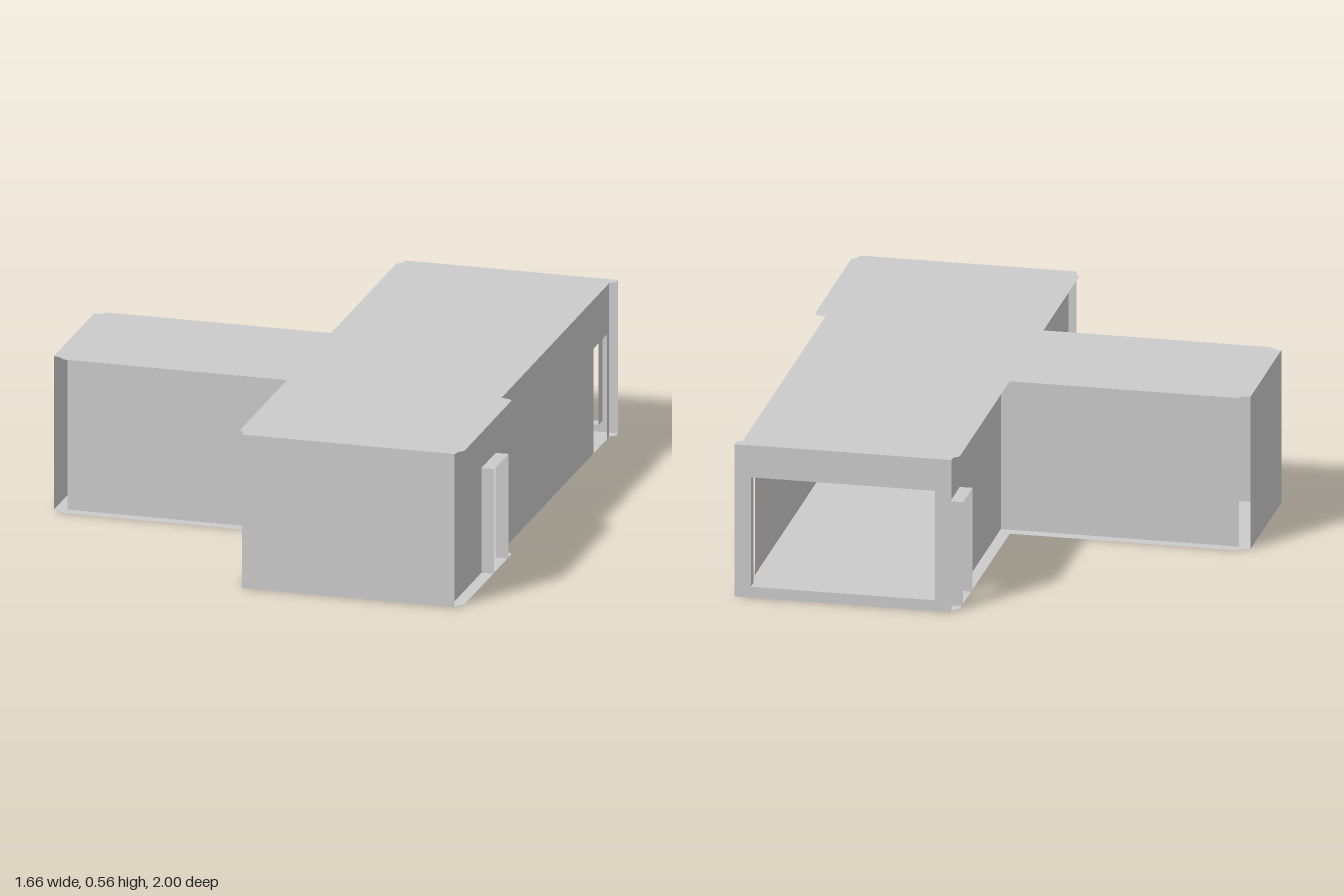
import * as THREE from 'three';

const H = 0.557; // wall height
const DOOR = 0.38; // door height
const mat = new THREE.MeshStandardMaterial({ color: 0xcccccc, flatShading: true, side: THREE.DoubleSide });

function add(parent, name, geometry) {
  const mesh = new THREE.Mesh(geometry, mat);
  mesh.name = name;
  parent.add(mesh);
  return mesh;
}

const toShape = (pts) => new THREE.Shape(pts.map(([x, y]) => new THREE.Vector2(x, y)));

// Wall sheet from a to b along one axis; doors are [from, to] cut up from the floor
function wallShape(a, b, doors = []) {
  const pts = [[a, 0]];
  for (const [p, q] of doors) pts.push([p, 0], [p, DOOR], [q, DOOR], [q, 0]);
  pts.push([b, 0], [b, H], [a, H]);
  return toShape(pts);
}

// Wall running along x at depth z
function wallAlongX(parent, name, z, shape) {
  add(parent, name, new THREE.ShapeGeometry(shape)).position.z = z;
}

// Wall running along z at position x
function wallAlongZ(parent, name, x, shape) {
  const wall = add(parent, name, new THREE.ShapeGeometry(shape).rotateY(-Math.PI / 2));
  wall.position.x = x;
}

// Open lining of a doorway: two jambs and a lintel between x0 and x1
function doorLining(parent, name, x0, x1, [z0, z1]) {
  const group = new THREE.Group();
  group.name = name;
  const depth = Math.abs(x1 - x0), cx = (x0 + x1) / 2;
  for (const z of [z0, z1]) {
    add(group, 'doorJamb', new THREE.PlaneGeometry(depth, DOOR)).position.set(cx, DOOR / 2, z);
  }
  const lintel = new THREE.PlaneGeometry(depth, z1 - z0).rotateX(-Math.PI / 2);
  add(group, 'doorLintel', lintel).position.set(cx, DOOR, (z0 + z1) / 2);
  parent.add(group);
}

export function createModel() {
  const model = new THREE.Group();
  model.name = 'corridorJunction';

  // Floor and roof share one T-shaped plan with small notched corners (x, z)
  const plan = [
    [0.035, 1], [0.80, 1], [0.805, 0.975], [0.822, 0.955], [0.822, 0.38], [0.81, 0.365], [0.78, 0.36],
    [0.78, -0.96], [0.80, -0.975], [0.80, -1], [0.035, -1], [0.033, -0.975], [0.015, -0.955],
    [0.015, -0.16], [-0.785, -0.16], [-0.81, -0.137], [-0.83, -0.135],
    [-0.83, 0.355], [-0.81, 0.358], [-0.785, 0.38], [0.015, 0.38], [0.015, 0.955], [0.033, 0.975],
  ];
  const slab = new THREE.ShapeGeometry(toShape(plan)).rotateX(Math.PI / 2);
  add(model, 'floor', slab);
  add(model, 'roof', slab).position.y = H;

  // Main hall side walls, set back from the roof edge
  const leftX = 0.78, rightX = 0.055;
  const leftDoor = [0.43, 0.605], leftOpening = [-0.93, -0.768];
  const rightFrontDoor = [0.45, 0.605], rightBackDoor = [-0.928, -0.775];
  wallAlongZ(model, 'leftWall', leftX, wallShape(-0.955, 0.96, [leftOpening, leftDoor]));
  wallAlongZ(model, 'rightBackWall', rightX, wallShape(-0.955, -0.12, [rightBackDoor]));
  wallAlongZ(model, 'rightFrontWall', rightX, wallShape(0.34, 0.96, [rightFrontDoor]));
  doorLining(model, 'leftDoorLining', leftX, 0.826, leftDoor);
  doorLining(model, 'rightFrontDoorLining', 0.01, rightX, rightFrontDoor);
  doorLining(model, 'rightBackDoorLining', 0.01, rightX, rightBackDoor);

  // Closed front end
  wallAlongX(model, 'frontWall', 1, wallShape(0.035, 0.80));

  // Back end with a large window
  const [x0, x1, y0, y1] = [0.093, 0.743, 0.04, 0.44];
  const back = wallShape(0.035, 0.80);
  back.holes.push(toShape([[x0, y0], [x0, y1], [x1, y1], [x1, y0]]));
  wallAlongX(model, 'backWall', -1, back);

  // Window lining, running inwards from the back wall
  const depth = 0.045, cz = -1 + depth / 2;
  for (const x of [x0, x1]) {
    const side = new THREE.PlaneGeometry(depth, y1 - y0).rotateY(Math.PI / 2);
    add(model, 'windowJamb', side).position.set(x, (y0 + y1) / 2, cz);
  }
  for (const y of [y0, y1]) {
    const ledge = new THREE.PlaneGeometry(x1 - x0, depth).rotateX(-Math.PI / 2);
    add(model, 'windowLedge', ledge).position.set((x0 + x1) / 2, y, cz);
  }

  // Side wing
  wallAlongX(model, 'wingFrontWall', 0.34, wallShape(-0.785, rightX));
  wallAlongX(model, 'wingBackWall', -0.12, wallShape(-0.785, rightX));
  wallAlongZ(model, 'wingEndWall', -0.83, wallShape(-0.135, 0.355));

  return model;
}
